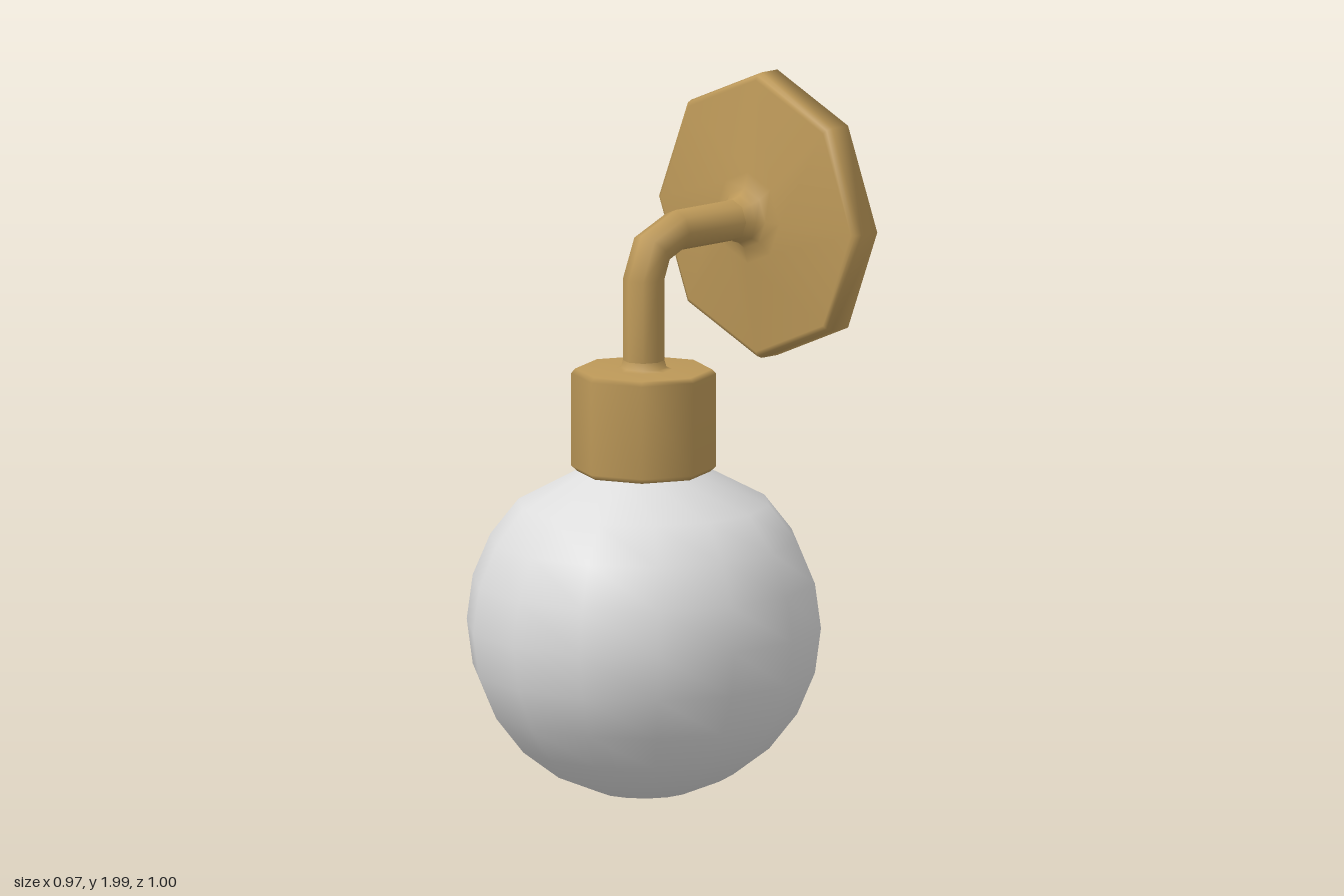
import * as THREE from 'three';

const CX = 0.012; // the metalwork sits slightly off the globe axis

function lathe(name, profile, sides, material) {
  const points = profile.map(([r, y]) => new THREE.Vector2(r, y));
  const mesh = new THREE.Mesh(new THREE.LatheGeometry(points, sides), material);
  mesh.name = name;
  return mesh;
}

// Octagonal pipe swept through rings of [y, z, turn angle, radius]
function sweep(rings, sides) {
  const positions = [];
  const index = [];
  rings.forEach(([y, z, a, r], i) => {
    for (let j = 0; j < sides; j++) {
      const t = (j / sides) * Math.PI * 2;
      const n = r * Math.sin(t);
      positions.push(r * Math.cos(t), y + n * Math.sin(a), z + n * Math.cos(a));
      if (i === rings.length - 1) continue;
      const k = (j + 1) % sides;
      const p = i * sides + j, q = i * sides + k;
      index.push(p, p + sides, q, q, p + sides, q + sides);
    }
  });
  const geometry = new THREE.BufferGeometry();
  geometry.setAttribute('position', new THREE.Float32BufferAttribute(positions, 3));
  geometry.setIndex(index);
  geometry.computeVertexNormals();
  return geometry;
}

export function createModel() {
  const brass = new THREE.MeshStandardMaterial({ color: 0xbc9858 });
  brass.name = 'brass';
  const glass = new THREE.MeshStandardMaterial({ color: 0xdcdcdc });
  glass.name = 'frosted glass';

  const model = new THREE.Group();
  model.name = 'wallLamp';

  // Globe: faceted sphere tapering into a neck
  const globeProfile = [];
  for (let i = 0; i <= 9; i++) {
    const a = (i * Math.PI) / 12;
    globeProfile.push([0.498 * Math.sin(a), 0.494 - 0.488 * Math.cos(a)]);
  }
  globeProfile.push([0.18, 0.93], [0.16, 0.95]);
  model.add(lathe('globe', globeProfile, 14, glass));

  // Cup holding the globe, with a small fillet up to the arm
  const cup = lathe('cup', [
    [0, 0.93], [0.186, 0.93], [0.202, 0.945], [0.202, 1.207],
    [0.19, 1.22], [0.08, 1.22], [0.064, 1.225], [0.058, 1.245],
  ], 8, brass);
  cup.position.set(CX, 0, CX);
  model.add(cup);

  // Bent arm
  const arm = new THREE.Mesh(sweep([
    [1.22, CX, 0, 0.058],
    [1.475, CX, 0, 0.058],
    [1.557, -0.02, Math.PI / 4, 0.058],
    [1.596, -0.11, Math.PI / 2, 0.058],
    [1.596, -0.34, Math.PI / 2, 0.058],
  ], 8), brass);
  arm.name = 'arm';
  arm.position.x = CX;
  model.add(arm);

  // Wall plate flaring out from the arm
  const plate = lathe('wallPlate', [
    [0, 0], [0.405, 0], [0.405, 0.06], [0.398, 0.077], [0.385, 0.083],
    [0.13, 0.114], [0.085, 0.126], [0.068, 0.145], [0.058, 0.175],
  ], 8, brass);
  plate.rotation.x = Math.PI / 2;
  plate.position.set(CX, 1.595, -0.5);
  model.add(plate);

  return model;
}
